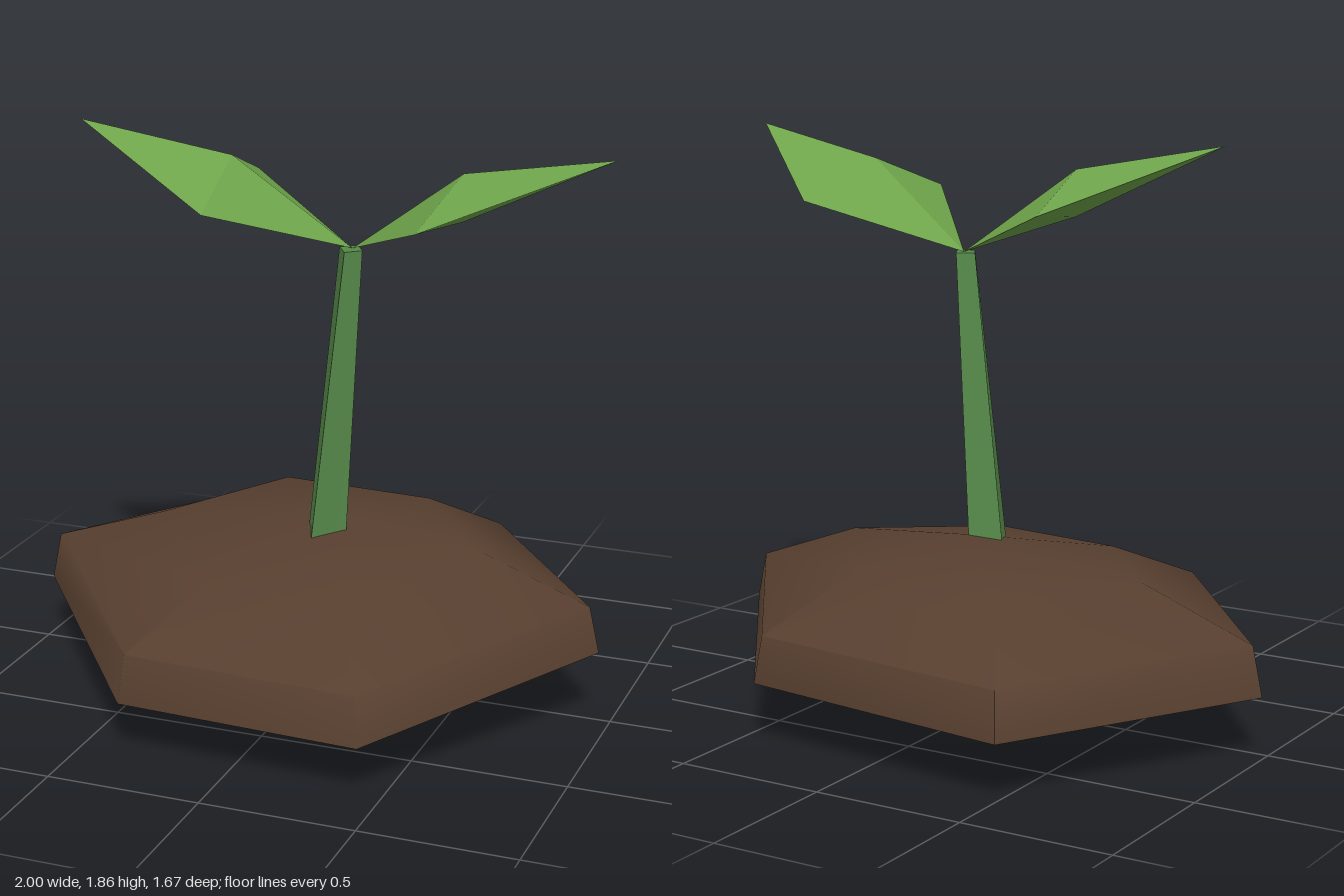
import * as THREE from 'three';
import { toCreasedNormals } from 'three/addons/utils/BufferGeometryUtils.js';

function fromFaces(points, faces) {
  const g = new THREE.BufferGeometry();
  g.setAttribute('position', new THREE.Float32BufferAttribute(points.flat(), 3));
  g.setIndex(faces.flat());
  return g;
}

// Closed skin over rings (bottom to top), each capped by a centre point
function loft(rings, bottom, top) {
  const n = rings[0].length;
  const points = [...rings.flat(), bottom, top];
  const faces = [];
  const last = (rings.length - 1) * n;
  for (let i = 0; i < n; i++) {
    const j = (i + 1) % n;
    for (let r = 0; r < last; r += n) {
      faces.push([r + i, r + j, r + n + j], [r + i, r + n + j, r + n + i]);
    }
    faces.push([j, i, points.length - 2], [last + i, last + j, points.length - 1]);
  }
  return fromFaces(points, faces);
}

function addMesh(parent, name, geometry, material) {
  const mesh = new THREE.Mesh(geometry, material);
  mesh.name = name;
  parent.add(mesh);
}

export function createModel() {
  const model = new THREE.Group();
  model.name = 'seedling';
  const mat = (name, color) => {
    const m = new THREE.MeshStandardMaterial({ color });
    m.name = name;
    return m;
  };
  const soil = mat('soil brown', 0x573f2f);
  const stemGreen = mat('stem green', 0x56894a);
  const leafGreen = mat('leaf green', 0x6fa54b);

  // Soil mound: six uneven corners, scaled into four tilted rings
  const rim = [[-1, -0.05], [-0.36, 0.79], [0.44, 0.83], [0.96, 0.02], [0.42, -0.74], [-0.52, -0.84]];
  const ring = (s, ys) => rim.map(([x, z], i) => [x * s, ys[i], z * s]);
  const mound = loft([
    ring(0.6, [0.1, 0.07, 0.075, 0.13, 0.085, 0.08]),
    ring(1, [0.2, 0.175, 0.175, 0.24, 0.2, 0.19]),
    ring(0.965, [0.36, 0.33, 0.33, 0.39, 0.35, 0.345]),
    ring(0.57, [0.5, 0.47, 0.48, 0.53, 0.52, 0.51]),
  ], [0.04, 0.04, 0.06], [0.08, 0.575, -0.03]);
  addMesh(model, 'soilMound', toCreasedNormals(mound, Math.PI / 3), soil);

  // Leaning, tapered four-sided stem
  const stem = loft([
    [[-0.08, 0, 0.03], [-0.03, 0, 0.15], [0.09, 0, 0.06], [0.03, 0, -0.05]],
    [[0.085, 1.49, 0.035], [0.125, 1.49, 0.1], [0.17, 1.49, 0.06], [0.135, 1.49, 0]],
  ], [0, 0, 0.05], [0.13, 1.49, 0.05]);
  addMesh(model, 'stem', toCreasedNormals(stem, 0.5), stemGreen);

  // Two mirrored leaves: diamonds with a raised and a lowered centre
  const stemX = 0.13;
  for (const side of [1, -1]) {
    const outline = [[0, 1.49, 0.04], [0.34, 1.655, 0.44], [0.87, 1.86, 0.16], [0.43, 1.655, -0.24]];
    const place = ([x, y, z]) => [stemX + side * x, y, z];
    const loop = outline.map(place);
    if (side < 0) loop.reverse();
    const leaf = loft([loop], place([0.38, 1.62, 0.1]), place([0.38, 1.77, 0.1]));
    addMesh(model, side > 0 ? 'leftLeaf' : 'rightLeaf', toCreasedNormals(leaf, 0.05), leafGreen);
  }
  return model;
}
